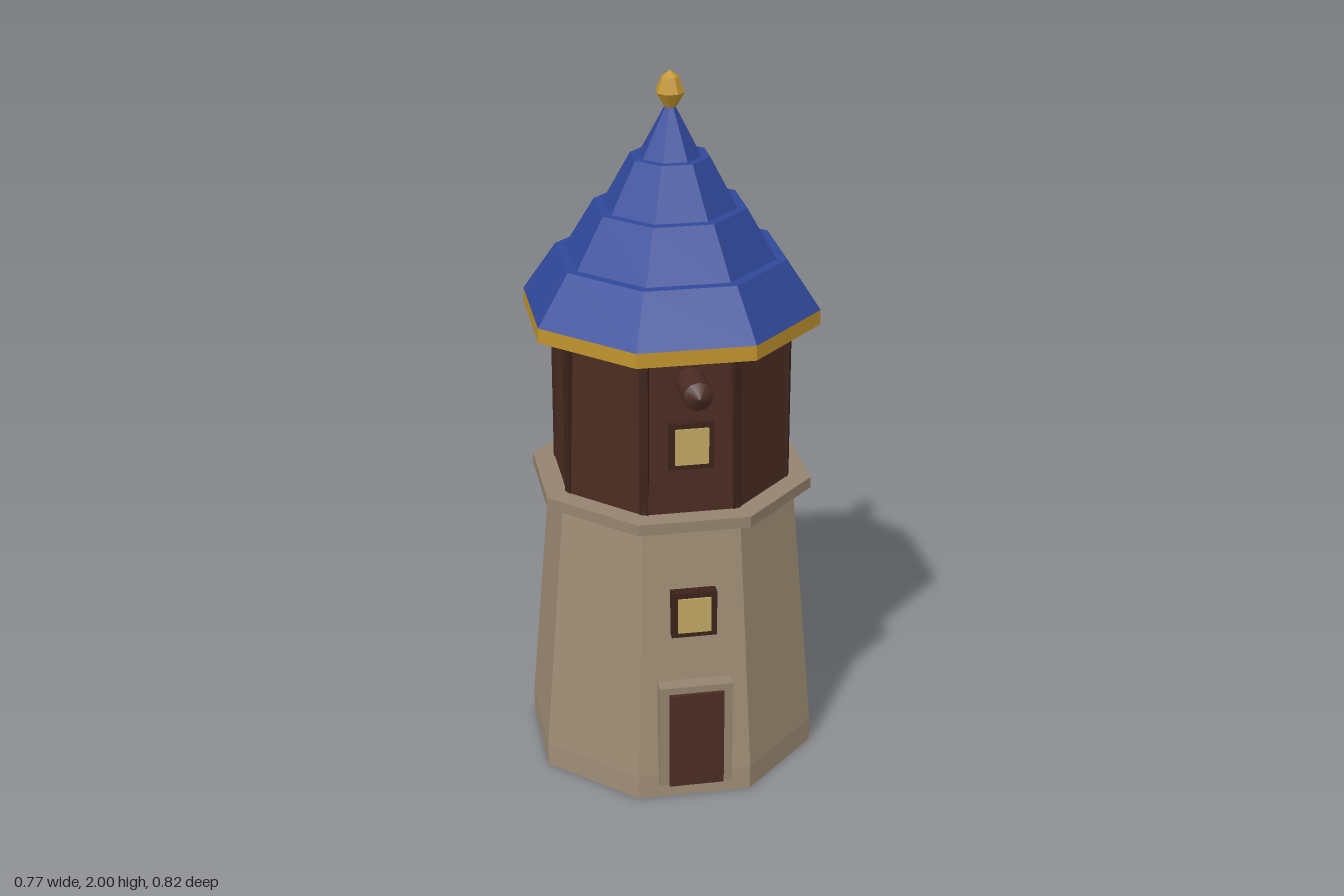
import * as THREE from 'three';

const SIDES = 8;
const CORNER = Math.PI / SIDES;

function paint(name, color) {
  const m = new THREE.MeshStandardMaterial({ color });
  m.name = name;
  return m;
}

export function createModel() {
  const stone = paint('stone', 0x9f8e76);
  const trimStone = paint('trim stone', 0x968470);
  const wood = paint('wood', 0x4b2c23);
  const darkWood = paint('dark wood', 0x3c231b);
  const roofBlue = paint('roof blue', 0x30489a);
  const gold = paint('gold', 0xc2942f);
  const glass = paint('window glow', 0xc2a862);

  const model = new THREE.Group();
  model.name = 'tower';
  // The octagonal body sits slightly back so the axle stays in bounds
  const body = new THREE.Group();
  body.name = 'towerBody';
  body.position.z = -0.025;
  model.add(body);

  function add(name, geometry, material, x = 0, y = 0, z = 0) {
    const mesh = new THREE.Mesh(geometry, material);
    mesh.name = name;
    mesh.position.set(x, y, z);
    body.add(mesh);
    return mesh;
  }

  // Faceted octagonal solid from [apothem, height] pairs, bottom to top
  function octagon(name, material, profile) {
    const points = profile.map(([a, y]) => new THREE.Vector2(a / Math.cos(CORNER), y));
    const geo = new THREE.LatheGeometry(points, SIDES, CORNER).toNonIndexed();
    geo.computeVertexNormals();
    return add(name, geo, material);
  }

  function box(name, material, w, h, d, x, y, z) {
    return add(name, new THREE.BoxGeometry(w, h, d), material, x, y, z);
  }

  // Stone base and ledge
  octagon('stoneBase', stone, [[0, 0], [0.387, 0], [0.387, 0.07], [0.327, 0.82], [0, 0.82]]);
  octagon('ledge', trimStone, [[0, 0.82], [0.373, 0.82], [0.373, 0.852], [0, 0.852]]);

  // Timber storey with upright corner posts
  octagon('timberStorey', wood, [[0, 0.852], [0.314, 0.852], [0.3, 1.315], [0, 1.315]]);
  for (let i = 0; i < SIDES; i++) {
    const a = CORNER + i * 2 * CORNER;
    const r = 0.326;
    const post = box('cornerPost', darkWood, 0.025, 0.463, 0.025,
      Math.sin(a) * r, 1.0835, Math.cos(a) * r);
    post.rotation.y = a;
  }

  // Gilded eaves and stepped roof
  octagon('eaves', gold, [[0, 1.313], [0.387, 1.313], [0.387, 1.355], [0, 1.355]]);
  const tiers = [[0.387, 0.3], [0.273, 0.197], [0.172, 0.102], [0.08, 0.012]];
  tiers.forEach(([low, high], i) => {
    const y0 = 1.355 + i * 0.1375;
    const y1 = y0 + 0.1375;
    octagon('roofTier', roofBlue, [[0, y0], [low, y0], [high, y1], [0, y1]]);
  });
  octagon('finial', gold, [[0, 1.9], [0.015, 1.9], [0.037, 1.94], [0.022, 1.982], [0, 2]]);

  // Door
  box('doorFrame', trimStone, 0.206, 0.31, 0.08, 0, 0.205, 0.368);
  box('door', wood, 0.154, 0.29, 0.05, 0, 0.195, 0.394);

  // Windows: [centre height, front of frame, frame width]
  for (const [y, front, w] of [[0.567, 0.375, 0.126], [1.053, 0.327, 0.122]]) {
    box('windowFrame', darkWood, w, 0.134, 0.05, 0, y, front - 0.025);
    box('windowPane', glass, 0.092, 0.104, 0.006, 0, y, front + 0.002);
  }

  // Axle stub with pointed cap
  const axle = add('axle', new THREE.CylinderGeometry(0.04, 0.04, 0.16, 12), wood, 0, 1.232, 0.332);
  axle.rotation.x = Math.PI / 2;
  const cap = add('axleCap', new THREE.ConeGeometry(0.04, 0.024, 12), wood, 0, 1.232, 0.424);
  cap.rotation.x = Math.PI / 2;

  return model;
}
